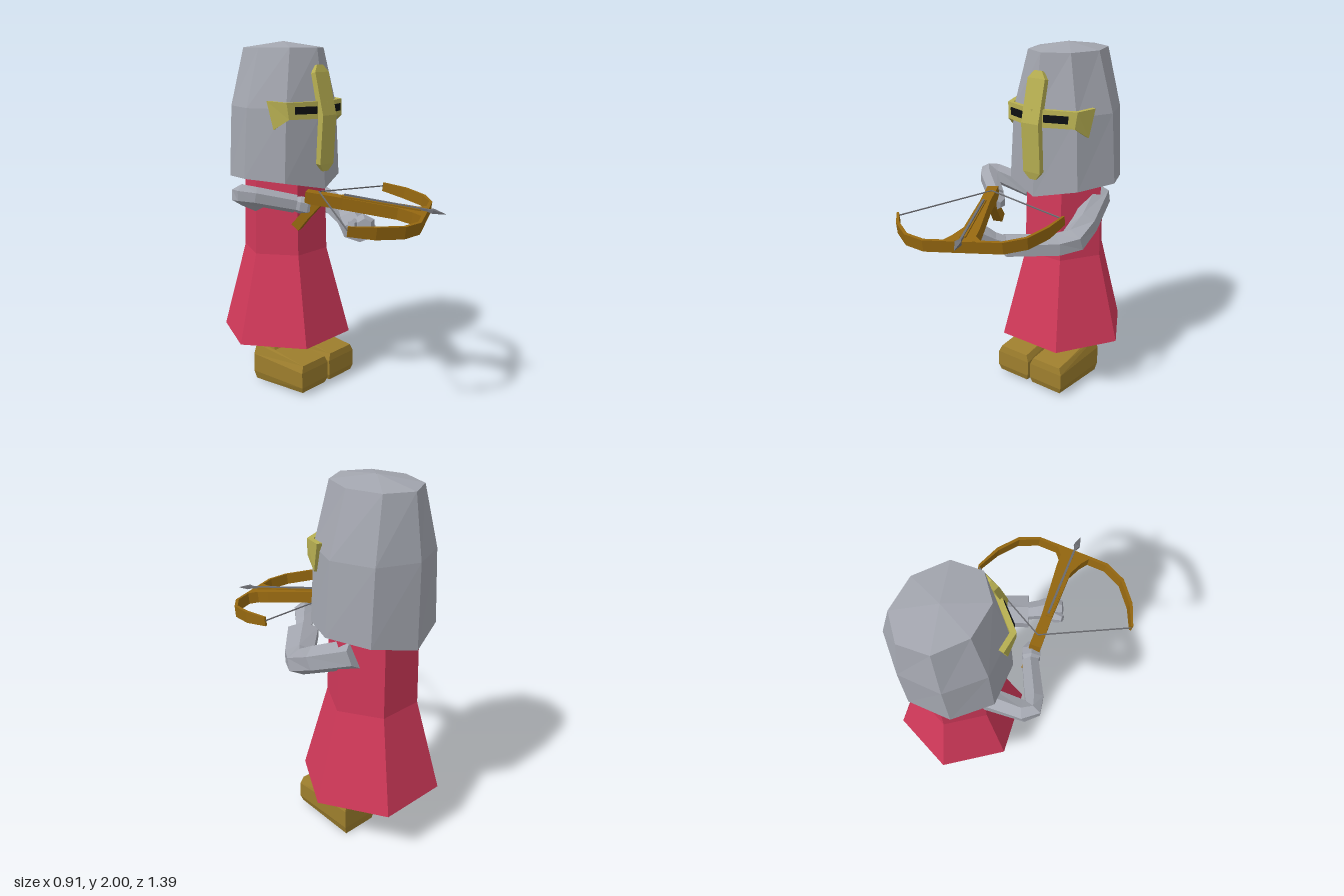
import * as THREE from 'three';

const V = (x, y, z) => new THREE.Vector3(x, y, z);
const CX = 0.06, CZ = -0.36; // body axis

const mat = (name, color) => {
  const m = new THREE.MeshStandardMaterial({ color, flatShading: true, side: THREE.DoubleSide });
  m.name = name;
  return m;
};

// Skin a list of closed rings; optionally cap both ends
function loft(rings, caps = true) {
  const out = [], n = rings[0].length;
  const tri = (...pts) => pts.forEach(p => out.push(p.x, p.y, p.z));
  for (let k = 0; k < rings.length - 1; k++) {
    for (let i = 0; i < n; i++) {
      const j = (i + 1) % n, a = rings[k], b = rings[k + 1];
      tri(a[i], a[j], b[j]);
      tri(a[i], b[j], b[i]);
    }
  }
  if (caps) {
    const first = rings[0], last = rings[rings.length - 1];
    for (let i = 1; i < n - 1; i++) {
      tri(first[0], first[i + 1], first[i]);
      tri(last[0], last[i], last[i + 1]);
    }
  }
  const g = new THREE.BufferGeometry();
  g.setAttribute('position', new THREE.Float32BufferAttribute(out, 3));
  g.computeVertexNormals();
  return g;
}

// Sweep a polygon along points [x, y, z, halfWidth, halfHeight]
function sweep(path, sides = 6, up = V(0, 1, 0)) {
  const pts = path.map(p => V(p[0], p[1], p[2]));
  const k = sides === 4 ? Math.SQRT2 : 1;
  return loft(pts.map((p, i) => {
    const d = V(0, 0, 0);
    if (i > 0) d.add(p.clone().sub(pts[i - 1]).normalize());
    if (i < pts.length - 1) d.add(pts[i + 1].clone().sub(p).normalize());
    d.normalize();
    const u = up.clone().cross(d).normalize(), v = d.clone().cross(u);
    const [, , , rw, rh = rw] = path[i];
    return Array.from({ length: sides }, (_, s) => {
      const t = (s + 0.5) * 2 * Math.PI / sides;
      return p.clone().addScaledVector(u, Math.cos(t) * rw * k).addScaledVector(v, Math.sin(t) * rh * k);
    });
  }));
}

// Flat slab from a plan outline of [x, z] points, centred on y = 0
function slab(outline, height) {
  const shape = new THREE.Shape(outline.map(p => new THREE.Vector2(p[0], p[1])));
  return new THREE.ExtrudeGeometry(shape, { depth: height, bevelEnabled: false })
    .rotateX(Math.PI / 2).translate(0, height / 2, 0);
}

export function createModel() {
  const root = new THREE.Group();
  root.name = 'crossbowKnight';
  const steel = mat('steel', 0xa3a6af), red = mat('redCloth', 0xd2395a), leather = mat('bootLeather', 0x9d7e2d),
    gold = mat('gold', 0xb8b052), wood = mat('wood', 0x966810), black = mat('black', 0x0c0f12),
    iron = mat('darkIron', 0x6c6d72);
  const add = (name, geometry, material, parent = root) => {
    const m = new THREE.Mesh(geometry, material);
    m.name = name;
    parent.add(m);
    return m;
  };

  // Tunic: hexagonal, with a flared open skirt
  const hexRing = (y, r) => Array.from({ length: 6 }, (_, i) => {
    const t = Math.PI / 6 + i * Math.PI / 3;
    return V(CX + r * Math.sin(t), y, CZ + r * Math.cos(t));
  });
  add('tunic', loft([hexRing(0.28, 0.39), hexRing(0.8, 0.25), hexRing(1.27, 0.24)], false), red);

  // Helmet: eight sides, rim dipping at front and back
  const helmRing = (y, rx, rz, dip = 0) => Array.from({ length: 8 }, (_, i) => {
    const t = i * Math.PI / 4;
    return V(CX + rx * Math.sin(t), y - dip * Math.cos(t) ** 4, CZ + rz * Math.cos(t));
  });
  add('helmet', loft([helmRing(1.25, 0.33, 0.31, 0.065), helmRing(1.64, 0.3, 0.305),
    helmRing(1.965, 0.2, 0.255), helmRing(2, 0.001, 0.001)], false), steel);

  // Gold cross: bent nose bar and a band wrapping the face
  add('noseGuard', sweep([
    [CX, 1.29, -0.058, 0.022, 0.015], [CX, 1.33, -0.05, 0.057, 0.016], [CX, 1.6, -0.032, 0.057, 0.018],
    [CX, 1.83, -0.085, 0.057, 0.016], [CX, 1.87, -0.098, 0.025, 0.013],
  ], 4, V(0, 0, 1)), gold);
  const bandEnd = s => [CX + s * 0.25, 1.605, -0.222, 0.014, 0.08];
  const bandCorner = s => [CX + s * 0.218, 1.63, -0.128, 0.016, 0.046];
  add('visorBand', sweep([bandEnd(-1), bandCorner(-1), [CX, 1.63, -0.045, 0.016, 0.048],
    bandCorner(1), bandEnd(1)], 4), gold);
  for (const s of [-1, 1]) {
    const slit = add(s > 0 ? 'leftEyeSlit' : 'rightEyeSlit', new THREE.BoxGeometry(0.135, 0.04, 0.008), black);
    slit.position.set(CX + s * 0.128, 1.632, -0.073);
    slit.rotation.y = s * 0.36;
  }

  // Boots: rings of [half width, front z, front y, back z, back y]
  const bootRings = [
    [0.1, -0.03, 0.015, -0.405, 0], [0.113, -0.02, 0.05, -0.412, 0.05], [0.113, -0.022, 0.14, -0.41, 0.16],
    [0.095, -0.03, 0.18, -0.405, 0.22], [0.088, -0.26, 0.215, -0.403, 0.23],
    [0.078, -0.295, 0.28, -0.4, 0.28], [0.06, -0.3, 0.42, -0.395, 0.42],
  ];
  for (const s of [-1, 1]) {
    const x = CX + s * 0.121;
    add(s > 0 ? 'leftBoot' : 'rightBoot', loft(bootRings.map(([w, zf, yf, zb, yb]) =>
      [V(x - w, yf, zf), V(x + w, yf, zf), V(x + w, yb, zb), V(x - w, yb, zb)])), leather);
  }

  // Arms and gripping hands
  add('leftArm', sweep([
    [0.25, 1.14, -0.43, 0.07, 0.08], [0.31, 1.04, -0.2, 0.075, 0.075], [0.315, 0.98, -0.08, 0.085, 0.07],
    [0.26, 0.965, 0.0, 0.09, 0.066], [0.065, 0.975, 0.2, 0.1, 0.062],
  ]), steel);
  add('leftHand', sweep([
    [0.08, 0.98, 0.18, 0.05, 0.04], [0.02, 1.01, 0.245, 0.055, 0.045],
    [-0.03, 1.04, 0.295, 0.07, 0.065], [-0.07, 1.05, 0.335, 0.04, 0.04],
  ]), steel);
  add('leftThumb', sweep([[-0.02, 1.03, 0.26, 0.03], [-0.085, 1.05, 0.27, 0.036], [-0.12, 1.06, 0.285, 0.02]]), steel);
  add('rightArm', sweep([
    [-0.19, 1.12, -0.345, 0.065], [-0.385, 1.19, -0.262, 0.06, 0.058], [-0.41, 1.2, -0.22, 0.056, 0.054],
    [-0.37, 1.19, -0.175, 0.056, 0.052], [-0.2, 1.14, -0.04, 0.05, 0.05],
  ]), steel);
  add('rightHand', sweep([
    [-0.21, 1.14, -0.05, 0.035], [-0.185, 1.135, -0.02, 0.056, 0.048],
    [-0.155, 1.125, 0.01, 0.056, 0.048], [-0.13, 1.12, 0.045, 0.03],
  ]), steel);

  // Crossbow, pitched slightly nose-down
  const bow = new THREE.Group();
  bow.name = 'crossbow';
  bow.position.y = 1.187;
  bow.rotation.x = 0.14;
  root.add(bow);
  add('stock', slab([[-0.2, 0.03], [-0.145, 0.0], [-0.06, 0.17], [0.115, 0.46], [0.145, 0.52], [0.205, 0.55],
    [0.02, 0.64], [0.03, 0.57], [0.025, 0.48], [-0.105, 0.21]], 0.065), wood, bow);
  add('boltRail', sweep([[-0.09, 0.033, 0.19, 0.016, 0.008], [0.1, 0.033, 0.57, 0.016, 0.008]], 4), wood, bow);

  // Curved prod with tapering tips
  const tips = { left: [0.39, 0.12], right: [-0.43, 0.51] };
  const prod = [tips.right, [-0.33, 0.605], [-0.195, 0.677], [-0.07, 0.68], [0.02, 0.638], [0.205, 0.55],
    [0.3, 0.505], [0.375, 0.41], [0.4, 0.27], tips.left];
  add('bowLimbs', sweep(prod.map(([x, z], i) => {
    const tip = i === 0 || i === prod.length - 1;
    return [x, 0, z, tip ? 0.006 : 0.009, tip ? 0.025 : 0.032];
  }), 4), wood, bow);
  for (const side of ['left', 'right']) {
    const [x, z] = tips[side];
    add(side + 'String', sweep([[-0.135, 0.035, 0.07, 0.003], [x, 0.005, z, 0.003]], 4), iron, bow);
  }

  // Loaded bolt
  add('boltShaft', sweep([[-0.08, 0.044, 0.2, 0.006], [0.13, 0.04, 0.63, 0.006]], 4), iron, bow);
  add('boltHead', sweep([[0.115, 0.04, 0.605, 0.006], [0.127, 0.04, 0.63, 0.017, 0.01],
    [0.155, 0.036, 0.69, 0.001]], 4), iron, bow);

  // Slanted handle under the stock
  add('grip', sweep([[-0.14, 1.16, 0.08, 0.024], [-0.165, 1.08, 0.01, 0.026, 0.024],
    [-0.185, 1.01, -0.045, 0.028, 0.026]], 4), wood);

  return root;
}
